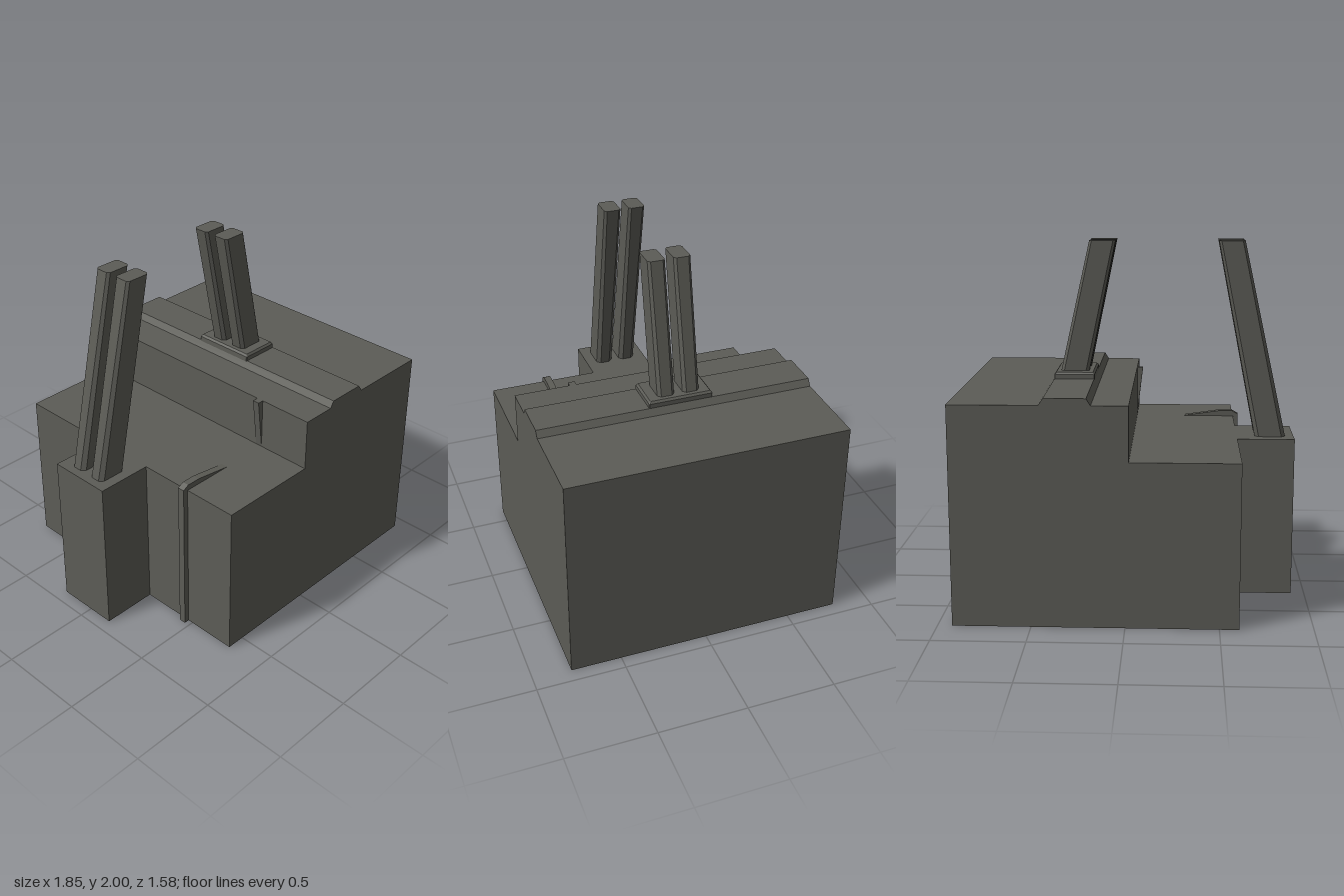
import * as THREE from 'three';

const darkGrey = new THREE.MeshStandardMaterial({ color: 0x5c5c56, flatShading: true });
darkGrey.name = 'darkGrey';

function add(group, geometry, name) {
  const mesh = new THREE.Mesh(geometry, darkGrey);
  mesh.name = name;
  group.add(mesh);
}

// Side profile in x and y, extruded from z0 to z1
function slab(points, z0, z1) {
  const shape = new THREE.Shape(points.map(([x, y]) => new THREE.Vector2(x, y)));
  return new THREE.ExtrudeGeometry(shape, { depth: z1 - z0, bevelEnabled: false }).translate(0, 0, z0);
}

// Box with chamfered upright edges; each level is [y, x0, x1, z0, z1, chamfer]
function loft(levels) {
  const rings = levels.map(([y, a, b, c, d, k]) => [
    [a + k, y, c], [a, y, c + k], [a, y, d - k], [a + k, y, d],
    [b - k, y, d], [b, y, d - k], [b, y, c + k], [b - k, y, c],
  ]);
  const v = [];
  for (let r = 0; r < rings.length - 1; r++) {
    for (let i = 0; i < 8; i++) {
      const j = (i + 1) % 8, lo = rings[r], hi = rings[r + 1];
      v.push(...lo[i], ...lo[j], ...hi[j], ...lo[i], ...hi[j], ...hi[i]);
    }
  }
  const bottom = rings[0], top = rings[rings.length - 1];
  for (let i = 1; i < 7; i++) {
    v.push(...top[0], ...top[i], ...top[i + 1]);
    v.push(...bottom[0], ...bottom[i + 1], ...bottom[i]);
  }
  const geometry = new THREE.BufferGeometry();
  geometry.setAttribute('position', new THREE.Float32BufferAttribute(v, 3));
  geometry.computeVertexNormals();
  return geometry;
}

export function createModel() {
  const model = new THREE.Group();
  model.name = 'connector';

  // Stepped housing with a low raised band along the top
  add(model, slab([
    [-0.605, 0], [0.922, 0], [0.922, 1.2], [0.445, 1.2], [0.42, 1.237], [0.198, 1.237],
    [0.175, 1.2], [-0.02, 1.2], [-0.02, 0.903], [-0.605, 0.903],
  ], -0.79, 0.785), 'housing');

  // Block standing out of the side
  add(model, slab([[-0.925, 0], [-0.605, 0], [-0.605, 0.903], [-0.925, 0.903]], -0.215, 0.153), 'sideBlock');

  // Thin key rib running up the side and over the lower step
  add(model, slab([
    [-0.635, 0], [-0.605, 0], [-0.605, 0.9], [-0.28, 0.9],
    [-0.52, 0.935], [-0.6, 0.935], [-0.635, 0.915],
  ], 0.43, 0.47), 'keyRib');
  add(model, slab([[-0.02, 0.903], [-0.02, 1.2], [-0.055, 1.2]], 0.43, 0.47), 'wedgeRib');

  // Collar under the upper pins
  add(model, loft([
    [1.23, 0.195, 0.42, -0.21, 0.155, 0.004],
    [1.262, 0.195, 0.42, -0.21, 0.155, 0.004],
    [1.274, 0.205, 0.41, -0.2, 0.145, 0.004],
  ]), 'collar');

  // Two pairs of leaning, tapering pins
  for (const [z0, z1] of [[-0.148, -0.053], [-0.005, 0.092]]) {
    add(model, loft([
      [0.903, -0.877, -0.705, z0, z1, 0.022],
      [2, -0.635, -0.49, z0, z1, 0.014],
    ]), 'lowerPin');
    add(model, loft([
      [1.27, 0.23, 0.388, z0, z1, 0.018],
      [2, 0.08, 0.226, z0, z1, 0.014],
    ]), 'upperPin');
  }
  return model;
}
